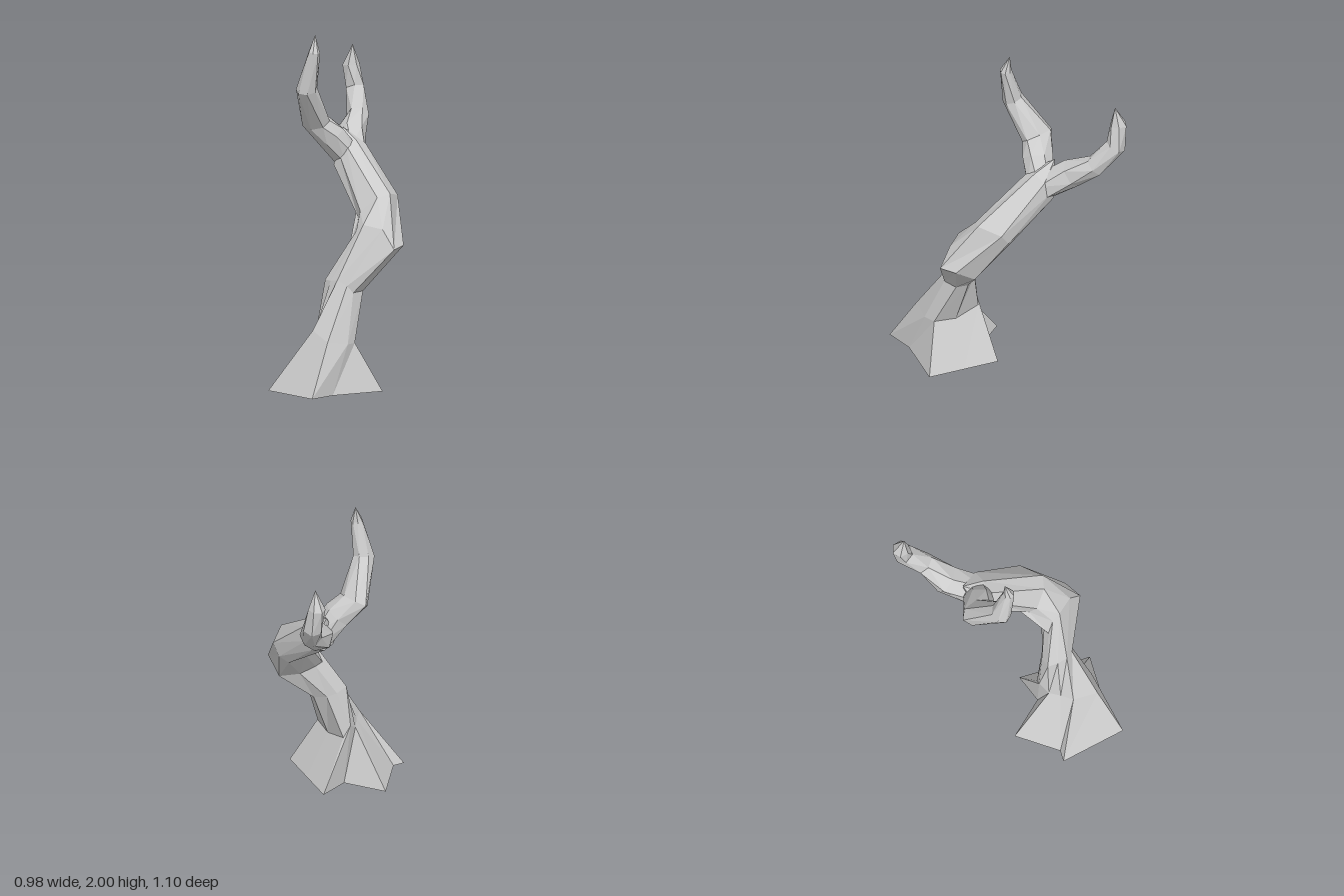
import * as THREE from 'three';

const V = (p) => new THREE.Vector3(...p);

// Joins a stack of equal-sized rings, open at the start and closed to a point at the end.
function loft(name, rings, end, material) {
  const pos = [];
  const tri = (...pts) => pts.forEach((p) => pos.push(p.x, p.y, p.z));
  const n = rings[0].length;
  for (let k = 0; k < n; k++) {
    const m = (k + 1) % n;
    for (let i = 0; i < rings.length - 1; i++) {
      const [lo, hi] = [rings[i], rings[i + 1]];
      tri(lo[k], hi[k], lo[m]);
      tri(lo[m], hi[k], hi[m]);
    }
    const top = rings[rings.length - 1];
    tri(end, top[m], top[k]);
  }
  const geo = new THREE.BufferGeometry();
  geo.setAttribute('position', new THREE.Float32BufferAttribute(pos, 3));
  geo.computeVertexNormals();
  const mesh = new THREE.Mesh(geo, material);
  mesh.name = name;
  return mesh;
}

// Tapering branch: stations are [x, y, z, half width, half depth], the last one is the tip.
function branch(name, stations, sides, material) {
  const c = stations.map((s) => V(s.slice(0, 3)));
  const rings = c.slice(0, -1).map((p, i) => {
    const t = c[i + 1].clone().sub(c[Math.max(i - 1, 0)]).normalize();
    const u = new THREE.Vector3(1, 0, 0);
    u.addScaledVector(t, -u.dot(t)).normalize();
    const v = u.clone().cross(t);
    const [, , , w, d] = stations[i];
    return Array.from({ length: sides }, (_, k) => {
      const a = ((k + 0.25 * i) / sides) * Math.PI * 2;
      return p.clone().addScaledVector(u, w * Math.cos(a)).addScaledVector(v, d * Math.sin(a));
    });
  });
  return loft(name, rings, c[c.length - 1], material);
}

export function createModel() {
  const group = new THREE.Group();
  group.name = 'deadTree';
  // The foot is hollow, so both sides show
  const bark = new THREE.MeshStandardMaterial({
    color: 0xcccccc, flatShading: true, side: THREE.DoubleSide,
  });

  // Flared root foot, rising to the waist
  const foot = [
    [[0.42, 0, 0.38], [0.44, 0, 0.55], [0.05, 0, 0.55], [0.065, 0, 0.485], [-0.12, 0, 0.28],
      [0.1, 0, 0.15], [0.075, 0, -0.02], [0.28, 0, 0.022], [0.49, 0, 0.065]],
    [[0.4, 0.28, 0.25], [0.37, 0.3, 0.375], [0.22, 0.35, 0.36], [0.17, 0.34, 0.3], [0.12, 0.33, 0.25],
      [0.09, 0.38, 0.19], [0.1, 0.31, 0.145], [0.25, 0.27, 0.15], [0.38, 0.28, 0.18]],
    [[0.33, 0.56, 0.15], [0.31, 0.6, 0.18], [0.26, 0.63, 0.21], [0.2, 0.62, 0.21], [0.14, 0.62, 0.2],
      [0.14, 0.6, 0.13], [0.17, 0.58, 0.08], [0.24, 0.56, 0.04], [0.31, 0.56, 0.06]],
  ];
  // Elbow, leaning stem and fork
  const stem = [
    [[0.48, 0.81, -0.03], [0.4, 0.92, -0.01], [0.3, 0.94, 0.05], [0.25, 0.9, 0.06], [0.21, 0.8, 0.08],
      [0.21, 0.79, 0.03], [0.24, 0.76, -0.06], [0.32, 0.74, -0.15], [0.44, 0.82, -0.135]],
    [[0.3, 1.1, -0.15], [0.27, 1.08, -0.08], [0.19, 1.0, -0.02], [0.15, 0.95, -0.04], [0.08, 1.01, -0.09],
      [0.06, 1.03, -0.17], [0.13, 0.96, -0.23], [0.17, 1.0, -0.27], [0.22, 1.07, -0.275]],
    [[-0.06, 1.36, -0.2], [-0.07, 1.34, -0.13], [-0.09, 1.28, -0.1], [-0.13, 1.22, -0.09], [-0.15, 1.19, -0.13],
      [-0.16, 1.18, -0.2], [-0.14, 1.2, -0.27], [-0.1, 1.25, -0.29], [-0.07, 1.33, -0.28]],
  ];
  const rings = [...foot, ...stem].map((ring) => ring.map(V));
  group.add(loft('trunk', rings, V([-0.19, 1.42, -0.21]), bark));

  // Tall branch bending to the front
  group.add(branch('frontBranch', [
    [-0.11, 1.26, -0.18, 0.08, 0.08], [-0.15, 1.38, -0.095, 0.09, 0.085], [-0.2, 1.47, -0.015, 0.1, 0.07],
    [-0.12, 1.68, 0.12, 0.06, 0.064], [-0.065, 1.9, 0.11, 0.034, 0.034], [-0.08, 2, 0.09],
  ], 7, bark));

  // Shorter branch hooking up at the back
  group.add(branch('backBranch', [
    [-0.11, 1.26, -0.21, 0.09, 0.085], [-0.24, 1.36, -0.31, 0.09, 0.085], [-0.32, 1.45, -0.43, 0.065, 0.062],
    [-0.42, 1.585, -0.495, 0.06, 0.058], [-0.445, 1.72, -0.485, 0.05, 0.05], [-0.425, 1.84, -0.48],
  ], 6, bark));

  return group;
}
